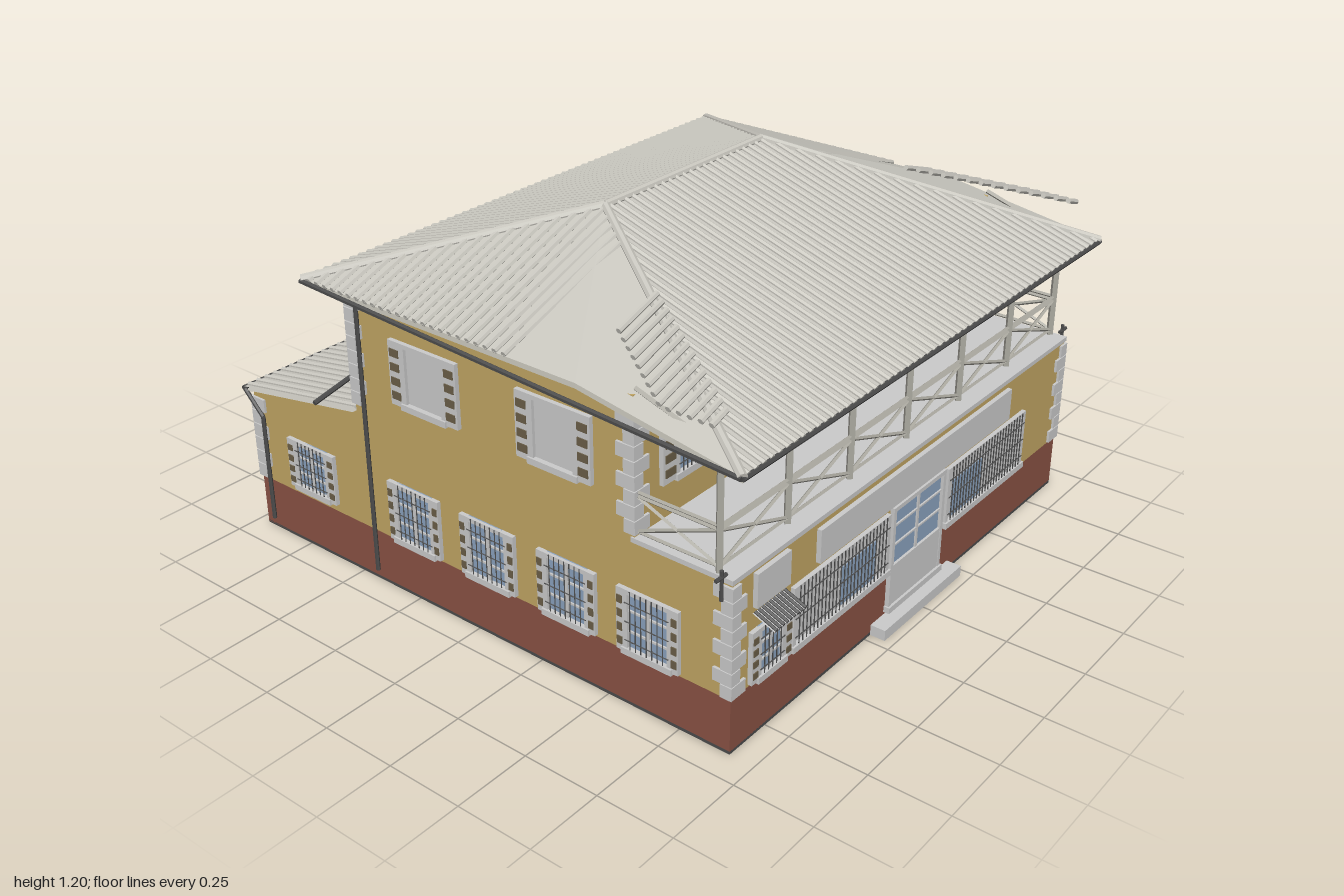
import * as THREE from 'three';
import { mergeGeometries } from 'three/addons/utils/BufferGeometryUtils.js';

const mat = (color) => new THREE.MeshStandardMaterial({ color, flatShading: true, side: THREE.DoubleSide });
const M = {
  grey: mat(0xcccccc), wall: mat(0xc2a664), plinth: mat(0x8a5244), glass: mat(0x8ba3bf),
  dark: mat(0x4c4c4c), slat: mat(0x6b5f48), wood: mat(0xaaa89f), roof: mat(0xc9c7bf),
};
const V = (x, y, z) => new THREE.Vector3(x, y, z);

// box given by its min and max on each axis
function box(parent, name, m, x0, x1, y0, y1, z0, z1) {
  const b = new THREE.Mesh(new THREE.BoxGeometry(x1 - x0, y1 - y0, z1 - z0), m);
  b.position.set((x0 + x1) / 2, (y0 + y1) / 2, (z0 + z1) / 2);
  b.name = name;
  parent.add(b);
  return b;
}

// round bars between pairs of points, merged in one mesh
function bars(parent, name, m, pairs, r, sides = 6) {
  const up = V(0, 1, 0);
  const geos = pairs.map(([p, q]) => {
    const d = q.clone().sub(p);
    const g = new THREE.CylinderGeometry(r, r, d.length(), sides);
    g.applyQuaternion(new THREE.Quaternion().setFromUnitVectors(up, d.normalize()));
    const c = p.clone().add(q).multiplyScalar(0.5);
    return g.translate(c.x, c.y, c.z);
  });
  const mesh = new THREE.Mesh(mergeGeometries(geos), m);
  mesh.name = name;
  parent.add(mesh);
}

// thin surface from flat polygons (fans)
function sheet(parent, name, m, polys) {
  const pos = [];
  for (const p of polys)
    for (let i = 1; i < p.length - 1; i++) for (const v of [p[0], p[i], p[i + 1]]) pos.push(v.x, v.y, v.z);
  const g = new THREE.BufferGeometry();
  g.setAttribute('position', new THREE.Float32BufferAttribute(pos, 3));
  g.computeVertexNormals();
  const mesh = new THREE.Mesh(g, m);
  mesh.name = name;
  parent.add(mesh);
}

// framed opening facing +z: o.s shutter width, o.b bar count, o.panel solid lower part, o.blind closed pane
function opening(name, w, h, o = {}) {
  const g = new THREE.Group(), a = w / 2, f = 0.014;
  g.name = name;
  box(g, 'pane', o.blind ? M.grey : M.glass, -a, a, 0, h, -0.01, 0.004);
  for (const s of [-1, 1]) box(g, 'jamb', M.grey, s * a - f / 2, s * a + f / 2, 0, h, -0.01, 0.014);
  box(g, 'lintel', M.grey, -a - f / 2, a + f / 2, h - f, h, -0.01, 0.014);
  box(g, 'sill', M.grey, -a - 0.012, a + 0.012, -0.006, f, -0.01, 0.02);
  if (o.panel) box(g, 'lowerPanel', M.grey, -a, a, 0, o.panel, -0.01, 0.012);
  if (!o.blind) {
    const y0 = o.panel || 0;
    box(g, 'mullion', M.grey, -0.005, 0.005, y0, h, 0, 0.009);
    for (const t of [0.33, 0.66]) box(g, 'transom', M.grey, -a, a, y0 + (h - y0) * t - 0.003, y0 + (h - y0) * t + 0.003, 0, 0.009);
  }
  if (o.b) {
    const list = [];
    for (let i = 1; i < o.b; i++) list.push([V(-a + w * i / o.b, 0, 0.016), V(-a + w * i / o.b, h, 0.016)]);
    for (const t of [0.2, 0.5, 0.8]) list.push([V(-a, h * t, 0.016), V(a, h * t, 0.016)]);
    bars(g, 'windowBars', M.dark, list, 0.0022, 4);
  }
  if (o.s) for (const s of [-1, 1]) {
    const c = s * (a + o.s / 2 + 0.006), hw = o.s / 2;
    box(g, 'shutter', M.grey, c - hw, c + hw, 0, h, 0, 0.014);
    for (let i = 0; i < 4; i++) {
      const y = h * (0.1 + 0.22 * i);
      box(g, 'louvres', M.slat, c - hw * 0.7, c + hw * 0.7, y, y + h * 0.12, 0.01, 0.017);
    }
  }
  return g;
}

export function createModel() {
  const house = new THREE.Group();
  house.name = 'house';
  const W = 0.91;
  const put = (g, turn, x, y, z) => { g.rotation.y = turn * Math.PI / 2; g.position.set(x, y, z); house.add(g); };
  const front = (g, x, y, z = 0.92) => put(g, 0, x, y, z);
  const right = (g, z, y) => put(g, 1, W, y, z);
  const left = (g, z, y) => put(g, -1, -W, y, z);
  const back = (g, x, y, z = -0.96) => put(g, 2, x, y, z);

  // walls
  box(house, 'foundation', M.dark, -W, W, 0, 0.01, -0.96, 0.92);
  box(house, 'plinth', M.plinth, -W, W, 0.005, 0.176, -0.96, 0.92);
  box(house, 'groundFloor', M.wall, -W, W, 0.176, 0.54, -0.47, 0.92);
  box(house, 'upperFloor', M.wall, -W, W, 0.54, 0.967, -0.47, 0.6);
  const prof = new THREE.Shape([[0.47, 0.176], [0.96, 0.176], [0.96, 0.48], [0.47, 0.572]].map(p => new THREE.Vector2(...p)));
  const lean = new THREE.Mesh(new THREE.ExtrudeGeometry(prof, { depth: 2 * W, bevelEnabled: false }), M.wall);
  lean.rotation.y = Math.PI / 2;
  lean.position.x = -W;
  lean.name = 'rearWing';
  house.add(lean);

  // corner stones
  for (const s of [-1, 1])
    for (const [z, d, y0, y1] of [[0.92, 1, 0.18, 0.53], [0.6, 1, 0.56, 0.96], [-0.47, -1, 0.6, 0.96], [-0.96, -1, 0.18, 0.47]]) {
      const n = Math.round((y1 - y0) / 0.045), step = (y1 - y0) / n;
      for (let i = 0; i < n; i++) {
        const lx = i % 2 ? 0.03 : 0.055, lz = i % 2 ? 0.055 : 0.03, xo = s * (W + 0.008), zo = z + d * 0.008;
        const xi = s * (W - lx), zi = z - d * lz;
        box(house, 'cornerStone', M.grey, Math.min(xo, xi), Math.max(xo, xi), y0 + i * step, y0 + (i + 0.93) * step, Math.min(zo, zi), Math.max(zo, zi));
      }
    }

  // main roof: ridge ends, rear, middle and front eave corners
  const R = (s) => V(s * 0.38, 1.19, 0.06), B = (s) => V(s * 0.96, 0.98, -0.6);
  const Mid = (s) => V(s * 0.96, 0.975, 0.45), F = (s) => V(s * 0.96, 0.89, 0.98);
  const planes = [[R(-1), F(-1), F(1), R(1)], [R(1), B(1), B(-1), R(-1)]];
  for (const s of [-1, 1]) planes.push([R(s), Mid(s), B(s)], [R(s), F(s), Mid(s)]);
  sheet(house, 'mainRoof', M.roof, planes);
  sheet(house, 'eaveLining', M.wood, planes.map(p => p.map(v => v.clone().add(V(0, -0.016, 0)))));
  const ribs = [];
  for (let i = -28; i <= 28; i++) {
    const x = i * 0.0335, t = Math.max(0, (Math.abs(x) - 0.38) / 0.58);
    for (const E of [F(1), B(1)]) {
      const top = R(1).lerp(E, t);
      ribs.push([V(x, top.y, top.z), V(x, E.y, E.z)]);
    }
  }
  for (const s of [-1, 1]) {
    for (let z = -0.57; z < 0.22; z += 0.0335) {
      const p = z < 0.06 ? R(s).lerp(B(s), (0.06 - z) / 0.66) : R(s).lerp(F(s), (z - 0.06) / 0.92);
      ribs.push([p, V(s * 0.96, 0.98, z)]);
    }
    for (let z = 0.45; z < 0.9; z += 0.0335) {
      const x = 0.38 + 0.58 * (z - 0.06) / 0.92, e = Math.min(0.96, x + 0.16);
      ribs.push([V(s * x, 1.19 - 0.33 * (x - 0.38), z), V(s * e, 1.19 - 0.33 * (e - 0.38), z)]);
    }
  }
  bars(house, 'roofRibs', M.roof, ribs, 0.009);
  const caps = [[R(-1), R(1)]];
  for (const s of [-1, 1]) caps.push([R(s), B(s)], [R(s), F(s)]);
  bars(house, 'ridgeCaps', M.roof, caps, 0.014, 8);

  // rear wing roof
  const q = (x, t) => V(x, 0.585 - 0.09 * t, -0.47 - 0.515 * t);
  for (const dy of [0, -0.012])
    sheet(house, 'rearWingRoof', M.roof, [[q(-0.925, 0), q(0.925, 0), q(0.925, 1), q(-0.925, 1)].map(v => v.add(V(0, dy, 0)))]);
  const wingRibs = [];
  for (let i = -27; i <= 27; i++) wingRibs.push([q(i * 0.0335, 0), q(i * 0.0335, 1)]);
  bars(house, 'rearWingRibs', M.roof, wingRibs, 0.009);

  // rafters under the eaves
  for (let i = -9; i <= 9; i++) {
    const x = i * 0.1;
    bars(house, 'rafter', M.wood, [[V(x, 0.985, 0.6), V(x, 0.872, 0.95)], [V(x, 0.99, -0.47), V(x, 0.962, -0.58)]], 0.008, 4);
  }

  // gutters and downpipes
  const gut = [[V(-0.96, 0.885, 0.98), V(0.96, 0.885, 0.98)], [V(0.96, 0.975, -0.6), V(-0.96, 0.575, -0.6)], [V(-0.925, 0.488, -0.99), V(0.925, 0.488, -0.99)]];
  const pipes = [];
  for (const s of [-1, 1]) {
    gut.push([V(s * 0.965, 0.888, 0.98), V(s * 0.965, 0.975, -0.6)]);
    pipes.push([V(s * 0.922, 0.04, -0.42), V(s * 0.922, 0.97, -0.42)], [V(s * 0.922, 0.04, -0.91), V(s * 0.922, 0.41, -0.91)],
      [V(s * 0.922, 0.41, -0.91), V(s * 0.922, 0.485, -0.985)]);
  }
  bars(house, 'gutters', M.dark, gut, 0.008);
  bars(house, 'downpipes', M.dark, pipes, 0.007);

  // balcony
  box(house, 'balconyFloor', M.grey, -0.915, 0.915, 0.535, 0.55, 0.59, 0.925);
  const rails = [], posts = [], zb = 0.87;
  const bay = (a, b) => {
    const at = (p, y) => V(p.x, y, p.z);
    for (const y of [0.565, 0.672, 0.684]) rails.push([at(a, y), at(b, y)]);
    rails.push([at(a, 0.565), at(b, 0.672)], [at(a, 0.672), at(b, 0.565)]);
  };
  for (let i = -3; i <= 3; i++) {
    const x = i * 0.3;
    posts.push([V(x, 0.545, zb), V(x, 0.91, zb)]);
    if (i < 3) { bay(V(x, 0, zb), V(x + 0.3, 0, zb)); rails.push([V(x, 0.82, zb), V(x + 0.06, 0.89, zb)]); }
    if (i > -3) rails.push([V(x, 0.82, zb), V(x - 0.06, 0.89, zb)]);
  }
  for (const s of [-1, 1]) bay(V(s * 0.9, 0, 0.6), V(s * 0.9, 0, zb));
  posts.push([V(-0.92, 0.9, zb), V(0.92, 0.9, zb)]);
  bars(house, 'balconyPosts', M.wood, posts, 0.012, 4);
  bars(house, 'balconyRailing', M.wood, rails, 0.006, 4);
  const lamp = new THREE.Mesh(new THREE.ConeGeometry(0.025, 0.035, 12), M.grey);
  lamp.position.set(0, 0.86, 0.76);
  lamp.name = 'hangingLamp';
  house.add(lamp);
  bars(house, 'lampRod', M.dark, [[V(0, 0.87, 0.76), V(0, 0.96, 0.76)]], 0.003);

  // front openings and boards
  front(opening('mainDoor', 0.28, 0.35, { panel: 0.15 }), 0, 0.05);
  for (const s of [-1, 1]) {
    const shop = opening('shopWindow', 0.47, 0.2, { blind: true, b: 26 });
    box(shop, 'shopGlass', M.glass, -0.1 - s * 0.1, 0.08 - s * 0.1, 0.015, 0.14, 0, 0.007);
    front(shop, s * 0.405, 0.19);
  }
  front(opening('smallShopWindow', 0.11, 0.165, { b: 6, s: 0.03 }), -0.745, 0.185);
  box(house, 'longBoard', M.grey, -0.53, 0.53, 0.41, 0.515, 0.91, 0.935);
  box(house, 'smallBoard', M.grey, -0.82, -0.67, 0.42, 0.525, 0.91, 0.935);
  const awn = [];
  for (let i = 0; i < 9; i++) awn.push([V(-0.81 + i * 0.0165, 0.4, 0.92), V(-0.81 + i * 0.0165, 0.372, 0.99)]);
  bars(house, 'awning', M.dark, awn, 0.006);
  sheet(house, 'awningCover', M.grey, [[V(-0.82, 0.4, 0.92), V(-0.67, 0.4, 0.92), V(-0.67, 0.372, 0.99), V(-0.82, 0.372, 0.99)]]);
  for (const x of [-0.67, 0.22]) front(opening('balconyWindow', 0.14, 0.2, { s: 0.06, b: 8 }), x, 0.66, 0.6);
  for (const x of [-0.22, 0.67]) front(opening('balconyDoor', 0.135, 0.31, { s: 0.06, panel: 0.12 }), x, 0.55, 0.6);

  // side openings
  const low = { s: 0.025, b: 8 };
  for (const z of [0.72, 0.48, 0.25]) right(opening('lowerWindow', 0.15, 0.2, low), z, 0.185);
  for (const z of [0.65, 0.36, 0.06, -0.24]) left(opening('lowerWindow', 0.15, 0.2, low), z, 0.185);
  right(opening('stairWindow', 0.145, 0.155, { b: 8 }), -0.175, 0.325);
  right(opening('sideDoor', 0.135, 0.29, { blind: true }), 0, 0.05);
  for (const side of [right, left]) {
    side(opening('wingWindow', 0.14, 0.17, { s: 0.03, b: 8 }), -0.695, 0.205);
    for (const z of [0.33, -0.16]) side(opening('upperWindow', 0.155, 0.205, { s: 0.05, blind: true }), z, 0.66);
  }

  // rear openings
  back(opening('rearDoor', 0.135, 0.29, { blind: true }), 0.67, 0.05);
  back(opening('smallRearWindow', 0.1, 0.09, { b: 5 }), 0.11, 0.28);
  back(opening('rearWindow', 0.14, 0.17, { s: 0.03, b: 8 }), -0.55, 0.205);
  back(opening('upperRearWindow', 0.14, 0.18, { s: 0.03, b: 8 }), 0.21, 0.7, -0.47);
  back(opening('smallUpperWindow', 0.1, 0.1, { b: 5 }), -0.19, 0.74, -0.47);
  back(opening('upperRearWindow', 0.14, 0.18, { s: 0.03, b: 8 }), -0.6, 0.7, -0.47);

  // steps
  box(house, 'frontStep', M.grey, -0.22, 0.22, 0, 0.035, 0.9, 0.97);
  box(house, 'sideStep', M.grey, 0.9, 0.945, 0, 0.035, -0.11, 0.105);
  box(house, 'rearStep', M.grey, 0.56, 0.78, 0, 0.035, -0.99, -0.95);

  // wall lamps on the sides
  for (const s of [-1, 1])
    bars(house, 'wallLamp', M.dark, [[V(s * 0.91, 0.56, 0.9), V(s * 0.955, 0.56, 0.9)], [V(s * 0.93, 0.49, 0.9), V(s * 0.93, 0.58, 0.9)]], 0.006);
  return house;
}
